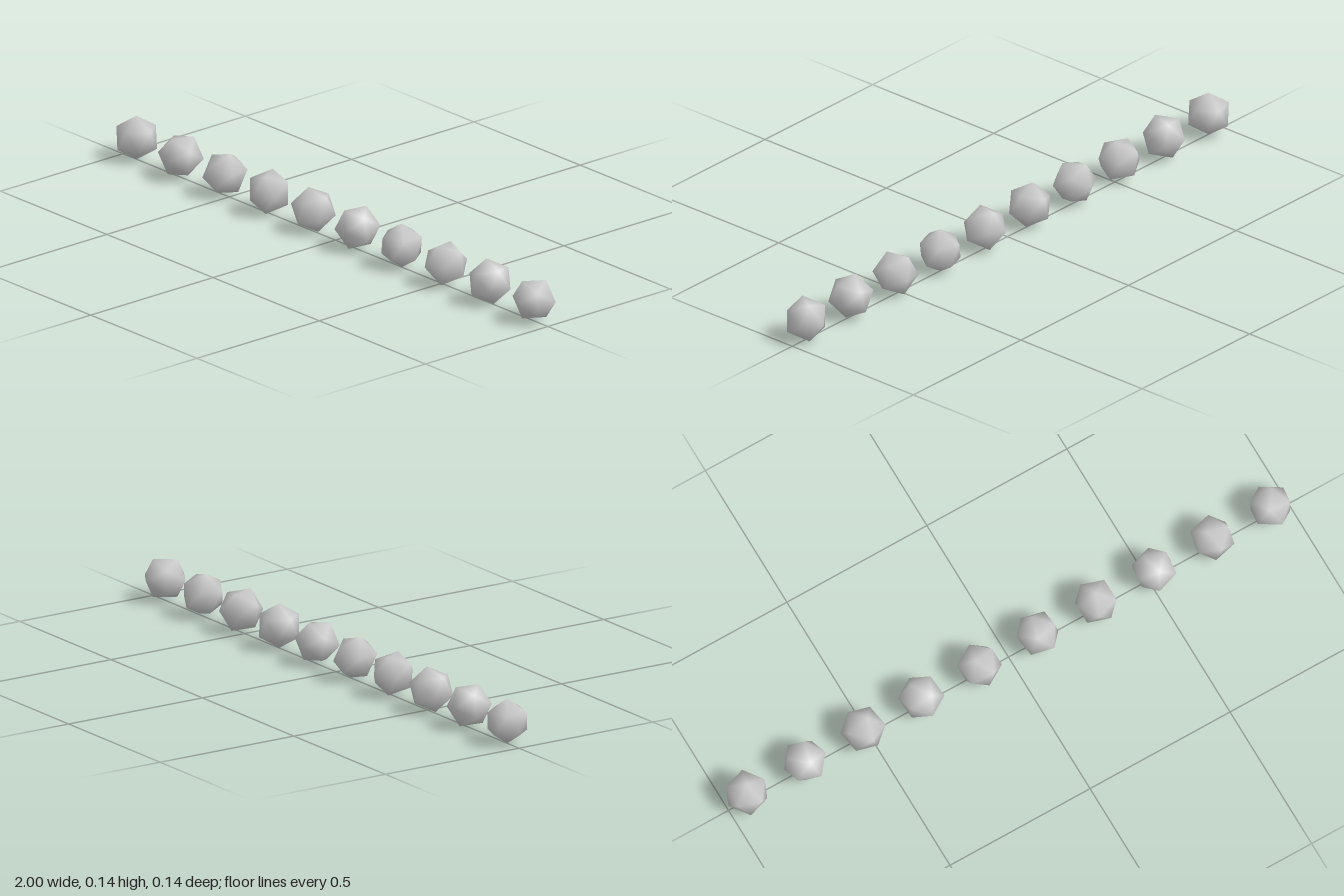
import * as THREE from 'three';
import { ConvexGeometry } from 'three/addons/geometries/ConvexGeometry.js';
import { mergeVertices } from 'three/addons/utils/BufferGeometryUtils.js';

const COUNT = 10;
const RADIUS = 0.072;

// Icosahedron standing on a vertex: two poles and two opposed rings of five, smooth shaded
function beadGeometry(radius) {
  const points = [new THREE.Vector3(0, radius, 0), new THREE.Vector3(0, -radius, 0)];
  const ringY = radius / Math.sqrt(5);
  const ringR = ringY * 2;
  for (let i = 0; i < 5; i++) {
    const a = (i * Math.PI * 2) / 5;
    const upper = new THREE.Vector3(ringR * Math.cos(a), ringY, ringR * Math.sin(a));
    points.push(upper, upper.clone().negate());
  }
  const faceted = new ConvexGeometry(points);
  faceted.deleteAttribute('normal');
  const geometry = mergeVertices(faceted, 1e-4);
  geometry.computeVertexNormals();
  return geometry;
}

export function createModel() {
  const group = new THREE.Group();
  group.name = 'beadRow';
  const geometry = beadGeometry(RADIUS);
  const material = new THREE.MeshStandardMaterial({ color: 0xcccccc });

  // Evenly spaced beads, each rolled 30 degrees further about the row's axis
  const endX = 1 - (RADIUS * 2) / Math.sqrt(5);
  for (let i = 0; i < COUNT; i++) {
    const bead = new THREE.Mesh(geometry, material);
    bead.name = `bead${i + 1}`;
    bead.position.set(-endX + (2 * endX * i) / (COUNT - 1), RADIUS, 0);
    bead.rotation.x = (i * Math.PI) / 6;
    group.add(bead);
  }
  return group;
}
